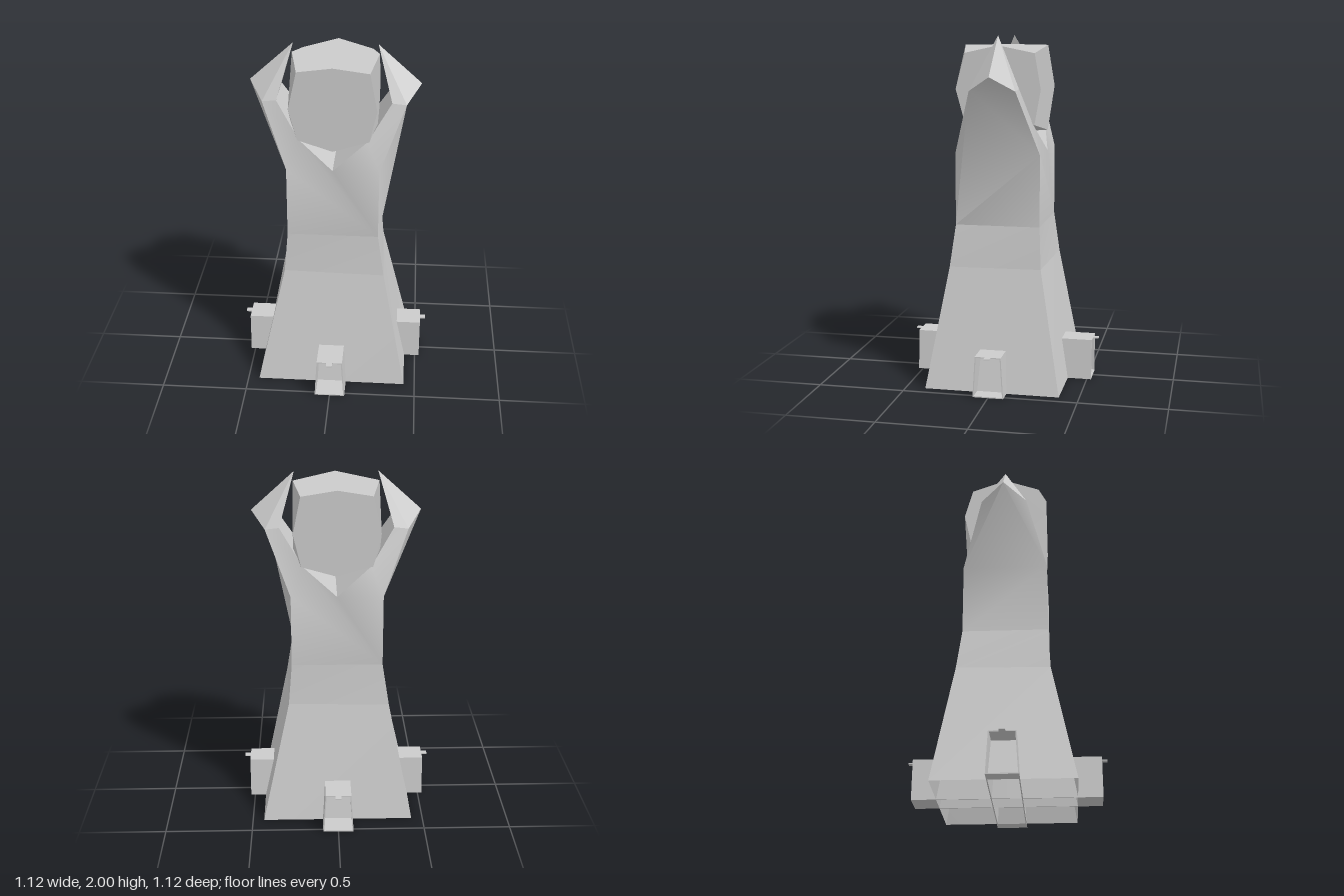
import * as THREE from 'three';
import { toCreasedNormals } from 'three/addons/utils/BufferGeometryUtils.js';
import { ConvexGeometry } from 'three/addons/geometries/ConvexGeometry.js';

const grey = new THREE.MeshStandardMaterial({ color: 0xcccccc });
const greyOpen = new THREE.MeshStandardMaterial({ color: 0xcccccc, side: THREE.DoubleSide });

// Mesh from convex polygons given as lists of [x, y, z], counter-clockwise from outside
function polyMesh(name, polys, crease = 0.5) {
  const pos = [];
  for (const p of polys)
    for (let i = 1; i < p.length - 1; i++) pos.push(...p[0], ...p[i], ...p[i + 1]);
  const geo = new THREE.BufferGeometry();
  geo.setAttribute('position', new THREE.Float32BufferAttribute(pos, 3));
  geo.computeVertexNormals();
  const mesh = new THREE.Mesh(toCreasedNormals(geo, crease), greyOpen);
  mesh.name = name;
  return mesh;
}

// Rectangle ring, counter-clockwise seen from above; two opposite corners can be pulled in
const ring = ([x, y, z], pull = 0) => [
  [-x + pull, y, z - pull], [x, y, z], [x - pull, y, -z + pull], [-x, y, -z]];
const wallsBetween = (lo, hi) =>
  lo.map((p, i) => [p, lo[(i + 1) % 4], hi[(i + 1) % 4], hi[i]]);

const flipX = ([x, y, z]) => [-x, y, z];
const flipZ = ([x, y, z]) => [x, y, -z];
const turned = polys => polys.map(p => p.map(([x, y, z]) => [-x, y, -z]));

const FOOT = [0.435, 0, 0.387], WAIST = [0.298, 0.69, 0.272], NECK = [0.26, 0.93, 0.243];

function createHead() {
  // corner points of the upper body on its front +x quarter
  const b = NECK;
  const c = [0.26, 1.34, 0.243];
  const d = [0.4, 1.7, 0.13];
  const e = [0.32, 1.71, 0.135];
  const f = [0.19, 1.5, 0.193];
  const g = [0, 1.34, 0.243];
  const o = [0.48, 1.78, 0];
  const tip = [0.235, 2, 0];
  const [b0, c0, d0, e0, f0, o0] = [b, c, d, e, f, o].map(flipX);
  const [bz, cz, dz, ez, fz, gz] = [b, c, d, e, f, g].map(flipZ);
  const [b0z, c0z, d0z] = [b0, c0, d0].map(flipZ);

  // notched front with a fold from the notch to the neck, repeated on the back
  const front = [
    [b0, b, c0], [c0, b, f0], [b, g, f0], [c0, f0, d0], [d0, f0, e0],
    [b, c, g], [c, f, g], [c, d, f], [d, e, f],
  ];
  // prong point and the saddle between the prongs, repeated on the other side
  const prong = [
    [e, d, tip], [d, o, tip], [dz, ez, tip], [o, dz, tip],
    [e, tip, ez], [g, f, fz, gz], [f, e, ez, fz],
  ];
  // outer sides, folded differently left and right
  const left = [[b, bz, cz], [b, cz, d], [b, d, c], [d, cz, dz], [d, dz, o]];
  const right = [[b0z, b0, c0, c0z], [c0z, c0, o0], [c0z, o0, d0z], [c0, d0, o0]];

  const head = new THREE.Group();
  head.name = 'prongedHead';
  head.add(
    polyMesh('notchedFaces', [...front, ...turned(front)], 1),
    polyMesh('prongs', [...prong, ...turned(prong)], 0.3),
    polyMesh('leftOuterFace', left, 1),
    polyMesh('rightOuterFace', right),
  );
  return head;
}

// Gem: a cube with its corners pulled in, each of its six sides shaded as one facet
function createGem() {
  const h = 0.243, k = 0.2, pts = [];
  for (const s of [-1, 1])
    for (const t of [-1, 1]) {
      pts.push(new THREE.Vector3(0, s * h, t * h), new THREE.Vector3(s * h, 0, t * h),
        new THREE.Vector3(s * h, t * h, 0));
      for (const u of [-1, 1]) pts.push(new THREE.Vector3(s * k, t * k, u * k));
    }
  const geo = new ConvexGeometry(pts);
  const normals = geo.attributes.normal;
  for (let i = 0; i < normals.count; i++) {
    const n = [normals.getX(i), normals.getY(i), normals.getZ(i)];
    const most = Math.max(...n.map(Math.abs));
    normals.setXYZ(i, ...n.map(v => (Math.abs(v) === most ? Math.sign(v) : 0)));
  }
  const gem = new THREE.Mesh(geo, grey);
  gem.name = 'gem';
  gem.position.y = 1.702;
  return gem;
}

// Channel running from the centre out through the wall, floored only beyond the wall,
// open at its outer end, with a small tab on top
function createSpout(wallZ) {
  const spout = new THREE.Group();
  const outEnd = 0.525;
  const section = new THREE.Shape([
    [-0.088, 0], [-0.082, 0], [-0.068, 0.229], [0.068, 0.229],
    [0.082, 0], [0.088, 0], [0.074, 0.235], [-0.074, 0.235],
  ].map(([x, y]) => new THREE.Vector2(x, y)));
  const channel = new THREE.Mesh(
    new THREE.ExtrudeGeometry(section, { depth: outEnd, bevelEnabled: false }), grey);
  channel.name = 'spoutChannel';

  const floor = new THREE.Mesh(new THREE.BoxGeometry(0.17, 0.006, outEnd - wallZ), grey);
  floor.name = 'spoutFloor';
  floor.position.set(0, 0.003, (outEnd + wallZ) / 2);

  const tab = new THREE.Mesh(new THREE.BoxGeometry(0.034, 0.006, 0.06), grey);
  tab.name = 'spoutTab';
  tab.position.set(0, 0.232, 0.528);
  spout.add(channel, floor, tab);
  return spout;
}

export function createModel() {
  const model = new THREE.Group();
  model.name = 'gemTower';

  // tapering base, open underneath, then the waist band
  const waist = ring(WAIST, 0.018);
  model.add(polyMesh('taperedBase', wallsBetween(ring(FOOT), waist)));
  model.add(polyMesh('waistBand', wallsBetween(waist, ring(NECK))));
  model.add(createHead(), createGem());

  ['front', 'left', 'back', 'right'].forEach((side, i) => {
    const spout = createSpout(i % 2 ? FOOT[0] : FOOT[2]);
    spout.name = side + 'Spout';
    spout.rotation.y = i * Math.PI / 2;
    model.add(spout);
  });
  return model;
}
